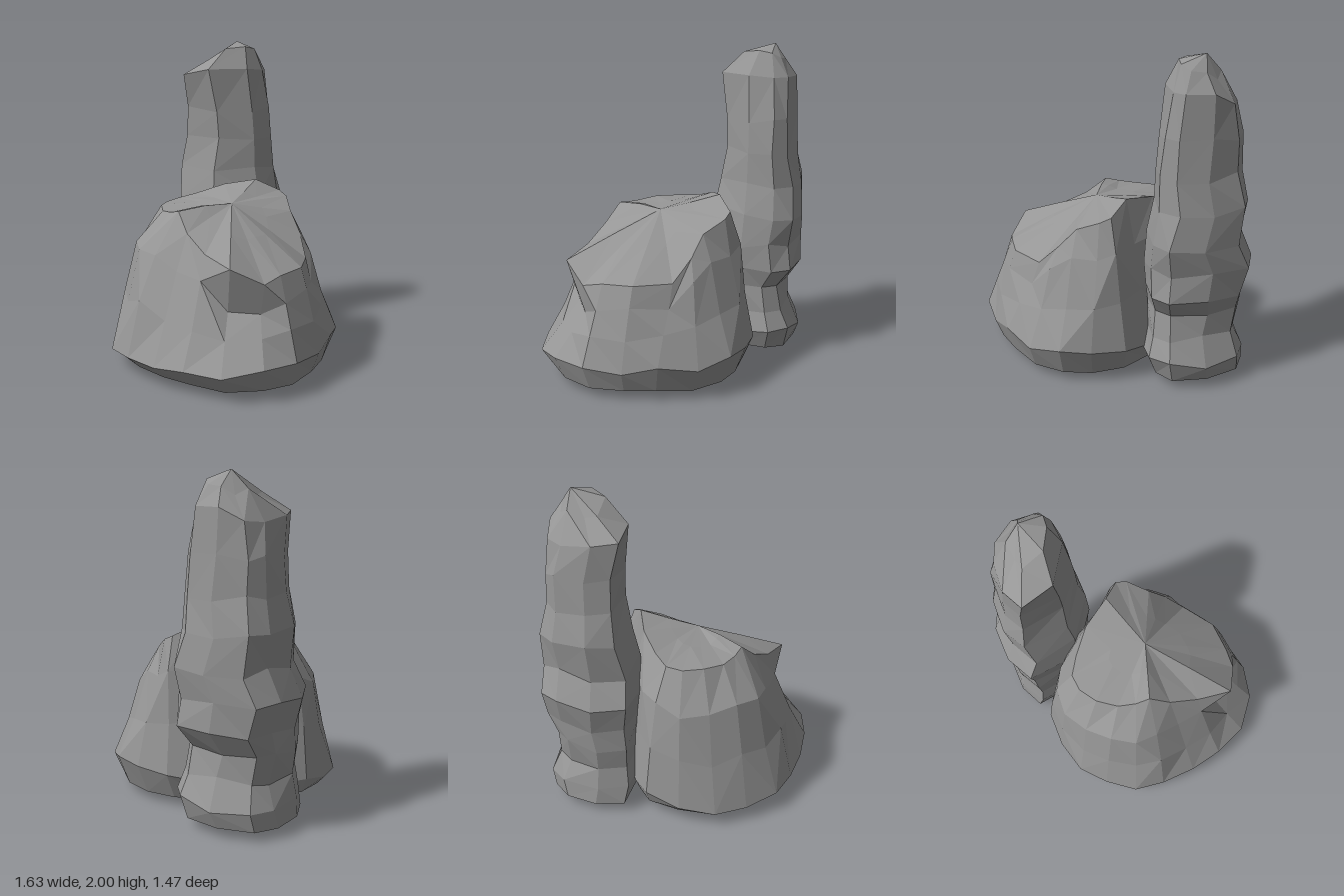
import * as THREE from 'three';

const material = new THREE.MeshStandardMaterial({ color: 0x969696, flatShading: true });

// Small repeatable offset so the facets look chipped
const chip = (r, i, k) => {
  const s = Math.sin(r * 12.99 + i * 78.23 + k * 37.7) * 4375.5;
  return s - Math.floor(s) - 0.5;
};

// Skin rings (listed bottom to top, counterclockwise from above) and close both ends with a point
function loft(name, rings, bottom, top) {
  const n = rings[0].length;
  const points = [...rings.flat(), bottom, top];
  const index = [];
  const last = rings.length - 1;
  for (let i = 0; i < n; i++) {
    const j = (i + 1) % n;
    for (let r = 0; r < last; r++) {
      const a = r * n + i, b = r * n + j, c = b + n, d = a + n;
      if (chip(r, i, 9) > 0) index.push(a, b, c, a, c, d);
      else index.push(a, b, d, b, c, d);
    }
    index.push(n * rings.length, j, i);
    index.push(n * rings.length + 1, last * n + i, last * n + j);
  }
  const geometry = new THREE.BufferGeometry().setFromPoints(points);
  geometry.setIndex(index);
  const flat = geometry.toNonIndexed();
  flat.computeVertexNormals();
  const mesh = new THREE.Mesh(flat, material);
  mesh.name = name;
  return mesh;
}

function createBoulder() {
  // Per column: foot x, z; shoulder x, y, z; outward bulge between them (negative for the hollow)
  const columns = [
    [0.81, 0.11, 0.63, 0.67, 0.08, 0.01],
    [0.75, -0.12, 0.6, 0.68, -0.11, 0.01],
    [0.66, -0.31, 0.45, 0.68, -0.29, 0],
    [0.52, -0.5, 0.33, 0.81, -0.35, 0],
    [0.34, -0.62, 0.22, 0.93, -0.37, 0.01],
    [0.15, -0.63, 0.09, 1.0, -0.45, 0.01],
    [-0.06, -0.59, 0.02, 1.03, -0.45, 0.02],
    [-0.22, -0.46, -0.08, 1.1, -0.33, 0.02],
    [-0.4, -0.27, -0.25, 1.06, -0.2, 0.04],
    [-0.55, -0.1, -0.36, 1.0, -0.05, 0.07],
    [-0.63, 0.03, -0.42, 0.97, 0.06, 0.07],
    [-0.61, 0.25, -0.4, 0.96, 0.16, 0.08],
    [-0.53, 0.46, -0.32, 0.96, 0.26, 0.08],
    [-0.38, 0.6, -0.2, 0.95, 0.33, 0.09],
    [-0.2, 0.72, -0.09, 0.96, 0.35, 0.09],
    [0.0, 0.73, 0.0, 0.98, 0.35, 0.08],
    [0.23, 0.7, 0.13, 0.87, 0.38, 0.03],
    [0.44, 0.64, 0.32, 0.78, 0.39, -0.02],
    [0.65, 0.53, 0.55, 0.74, 0.39, -0.12],
    [0.78, 0.33, 0.64, 0.64, 0.21, -0.07],
  ];
  const crown = new THREE.Vector3(0.08, 1.0, 0.0);
  const foot = columns.map(([x, z], i) => new THREE.Vector3(
    x, 0.17 + 0.04 * x - 0.07 * z + 0.05 * chip(1, i, 0), z));
  const shoulder = columns.map(([, , x, y, z]) => new THREE.Vector3(x, y, z));
  const sole = foot.map((p, i) => new THREE.Vector3(p.x * 0.94, 0.06 + 0.02 * chip(2, i, 7), p.z * 0.89));
  const underside = foot.map((p, i) => new THREE.Vector3(p.x * 0.6, 0.03 + 0.03 * chip(0, i, 3), p.z * 0.6));

  // Flank rings between foot and shoulder; a hollow also sinks below its overhang
  const flank = (t, amount, r) => foot.map((p, i) => {
    const out = new THREE.Vector3(p.x, 0, p.z).normalize();
    const push = columns[i][5] * amount;
    const v = p.clone().lerp(shoulder[i], t);
    v.addScaledVector(out, push + 0.025 * chip(r, i, 1));
    v.y += Math.min(0, push) + 0.07 * chip(r, i, 2);
    return v;
  });
  const plateau = shoulder.map((p, i) => {
    const v = p.clone().lerp(crown, 0.5);
    v.y += 0.005 + 0.02 * chip(6, i, 2);
    return v;
  });
  return loft('boulder',
    [underside, sole, foot, flank(0.38, 0.55, 3), flank(0.74, 1, 4), shoulder, plateau],
    new THREE.Vector3(-0.2, 0, 0.1), crown);
}

function createPillar() {
  // Footprint in unit-box coordinates
  const outline = [
    [1, -0.12], [0.94, -0.73], [0.6, -1], [-0.15, -0.97], [-0.85, -0.68],
    [-1, -0.25], [-0.95, 0.48], [-0.6, 1], [0.46, 0.74],
  ];
  // Height, extents x min, x max, z min, z max, and rise toward +x
  const levels = [
    [0.06, -0.79, -0.22, -0.68, -0.1, 0],
    [0.18, -0.78, -0.18, -0.73, -0.08, 0],
    [0.32, -0.74, -0.21, -0.66, -0.1, 0],
    [0.46, -0.77, -0.21, -0.64, -0.1, 0],
    [0.6, -0.77, -0.18, -0.73, -0.09, 0],
    [0.76, -0.81, -0.17, -0.71, -0.07, 0],
    [0.94, -0.73, -0.18, -0.73, -0.1, 0],
    [1.14, -0.76, -0.23, -0.71, -0.13, 0],
    [1.34, -0.72, -0.23, -0.67, -0.17, 0],
    [1.55, -0.71, -0.24, -0.66, -0.18, 0],
    [1.79, -0.68, -0.29, -0.65, -0.12, 0.04],
    [1.92, -0.57, -0.35, -0.58, -0.29, 0.04],
  ];
  const rings = levels.map(([y, x0, x1, z0, z1, rise], r) => outline.map(([u, w], i) => new THREE.Vector3(
    (x0 + x1) / 2 + u * (x1 - x0) / 2 + 0.02 * chip(r, i, 4),
    y + rise * u + (r ? 0.05 * chip(r, i, 5) : 0),
    (z0 + z1) / 2 + w * (z1 - z0) / 2 + 0.02 * chip(r, i, 6))));
  return loft('standingStone', rings,
    new THREE.Vector3(-0.5, 0.06, -0.4), new THREE.Vector3(-0.49, 2, -0.5));
}

export function createModel() {
  const group = new THREE.Group();
  group.name = 'rocks';
  group.add(createBoulder(), createPillar());
  return group;
}
